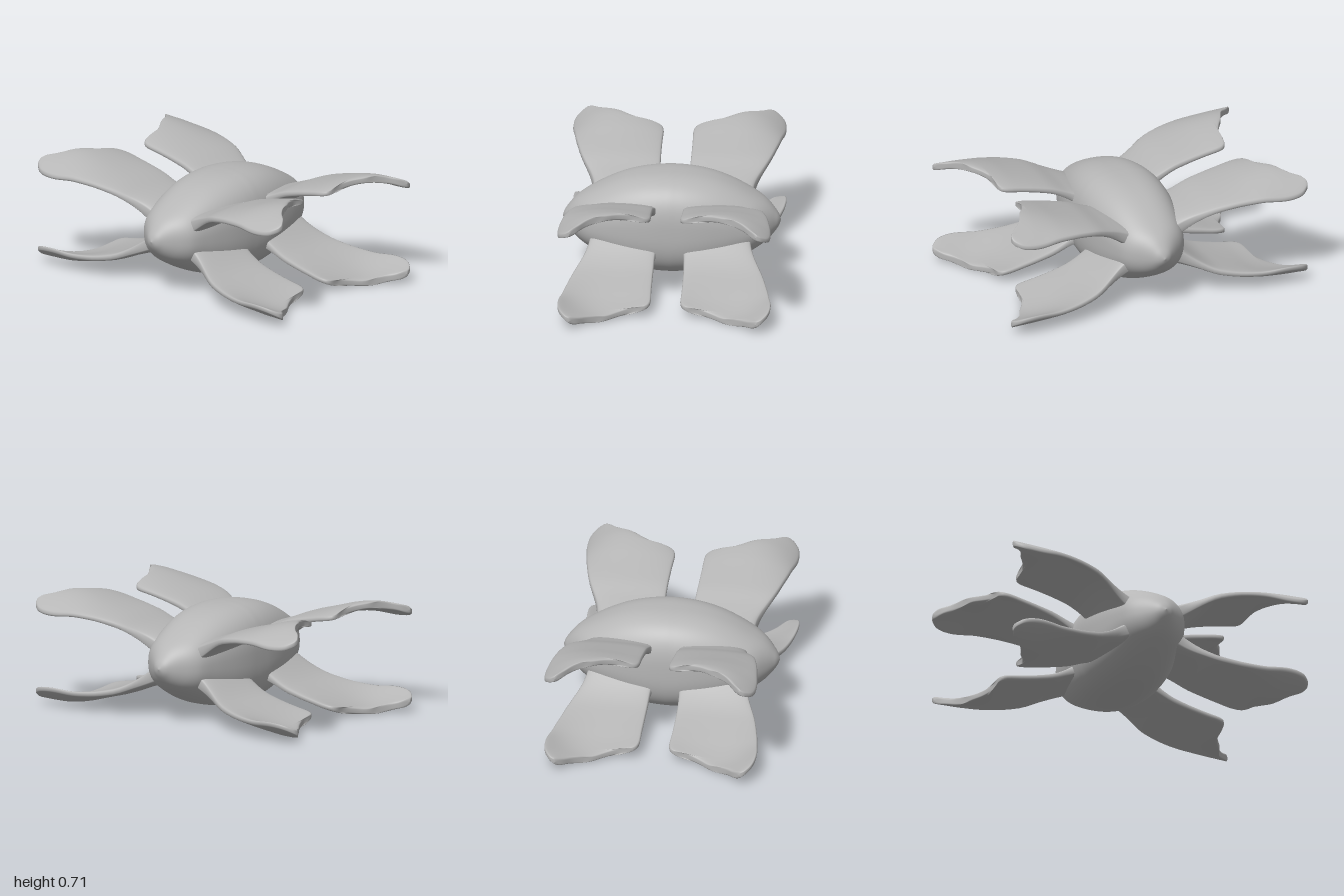
import * as THREE from 'three';

const MID_Y = 0.355;

// Smooth cubic through table rows [key, value], keys ascending
function curve(table) {
  const slope = (i) => {
    const a = table[Math.max(0, i - 1)], b = table[Math.min(table.length - 1, i + 1)];
    return (b[1] - a[1]) / (b[0] - a[0]);
  };
  return (k) => {
    let i = 0;
    while (i < table.length - 2 && k > table[i + 1][0]) i++;
    const [k0, v0] = table[i], [k1, v1] = table[i + 1], h = k1 - k0;
    const t = Math.min(1, Math.max(0, (k - k0) / h)), t2 = t * t, t3 = t2 * t;
    return v0 * (2 * t3 - 3 * t2 + 1) + slope(i) * h * (t3 - 2 * t2 + t)
      + v1 * (3 * t2 - 2 * t3) + slope(i + 1) * h * (t3 - t2);
  };
}

const signedPow = (v, p) => Math.sign(v) * Math.pow(Math.abs(v), p);

// Closed loops joined along a path, leaving out covered faces; turned outwards using the volume
function loft(rows, sides, point, covered = () => false) {
  const pos = [], index = [];
  for (let r = 0; r <= rows; r++) {
    for (let s = 0; s < sides; s++) pos.push(...point(r / rows, (s / sides) * Math.PI * 2));
  }
  const v = (i) => new THREE.Vector3().fromArray(pos, i * 3);
  for (let r = 0; r < rows; r++) {
    for (let s = 0; s < sides; s++) {
      const a = r * sides + s, b = r * sides + (s + 1) % sides;
      if (covered(v(a).lerp(v(b + sides), 0.5))) continue;
      index.push(a, b, b + sides, a, b + sides, a + sides);
    }
  }
  let volume = 0;
  for (let i = 0; i < index.length; i += 3) {
    volume += v(index[i]).dot(v(index[i + 1]).cross(v(index[i + 2])));
  }
  if (volume < 0) index.reverse();
  const geo = new THREE.BufferGeometry();
  geo.setAttribute('position', new THREE.Float32BufferAttribute(pos, 3));
  geo.setIndex(index);
  geo.computeVertexNormals();
  return geo;
}

// Wing stations from root to tip: inner edge x, z and outer edge x, z
const stations = [
  [0.25, 0.078, 0.13, 0.495], [0.275, 0.085, 0.205, 0.5], [0.32, 0.09, 0.28, 0.522],
  [0.45, 0.093, 0.42, 0.582], [0.60, 0.093, 0.58, 0.622], [0.72, 0.093, 0.70, 0.642],
  [0.765, 0.125, 0.78, 0.654], [0.768, 0.21, 0.85, 0.658], [0.80, 0.29, 0.91, 0.654],
  [0.845, 0.36, 0.95, 0.643], [0.87, 0.42, 0.978, 0.624], [0.91, 0.48, 0.995, 0.605],
  [0.965, 0.53, 1.0, 0.587], [0.997, 0.57, 1.0, 0.575],
];
const edge = [0, 1, 2, 3].map((c) => curve(stations.map((s, i) => [i, s[c]])));
// Height of the arch, sag in front of and behind it, and half thickness, by distance from the centre
const crest = curve([[0.1, 0.41], [0.2, 0.465], [0.3, 0.52], [0.4, 0.57], [0.5, 0.602],
  [0.6, 0.632], [0.7, 0.662], [0.82, 0.686], [0.93, 0.69], [1.0, 0.69]]);
const sag = curve([[0.1, 0.005], [0.3, 0.01], [0.5, 0.025], [0.6, 0.042], [0.7, 0.065],
  [0.82, 0.09], [0.93, 0.09], [1.0, 0.085]]);
const half = curve([[0.1, 0.08], [0.2, 0.062], [0.26, 0.048], [0.32, 0.036], [0.4, 0.03],
  [0.6, 0.026], [1.0, 0.024]]);

function wingGeometry(sx, sy, sz) {
  const last = stations.length - 1;
  return loft(52, 48, (t, a) => {
    const [xi, zi, xo, zo] = edge.map((f) => f(t * last));
    const v = 0.5 + 0.5 * Math.cos(a);
    const x = xi + (xo - xi) * v, z = zi + (zo - zi) * v;
    const arch = (z - 0.37) / 0.28;
    const taper = Math.sqrt(Math.min(1, (1 - t) * last));
    const y = crest(x) - sag(x) * arch * arch * (arch < 0 ? 0.5 : 1)
      + half(x) * taper * signedPow(Math.sin(a), 0.4);
    return [sx * x, MID_Y + sy * (y - MID_Y), sz * z];
  });
}

// True where a wing root joins the body wall, so the wall is left open there
function underWingRoot(p) {
  const x = Math.abs(p.x), y = MID_Y + Math.abs(p.y - MID_Y), z = Math.abs(p.z);
  const rootX = 0.26 - 0.12 * (z - 0.078) / 0.417;
  return z > 0.11 && z < 0.46 && x > rootX && Math.abs(y - crest(x)) < half(x) * 0.65;
}

// Body: boxy in the middle, rounder towards the blunt-pointed ends
function bodyGeometry() {
  const width = curve([[0, 0.292], [0.1, 0.29], [0.2, 0.28], [0.3, 0.262], [0.4, 0.238], [0.5, 0.205],
    [0.55, 0.17], [0.6, 0.115], [0.64, 0.065], [0.66, 0.037], [0.674, 0]]);
  const height = curve([[0, 0.317], [0.1, 0.313], [0.2, 0.3], [0.3, 0.275], [0.4, 0.235],
    [0.5, 0.182], [0.57, 0.138], [0.61, 0.103], [0.645, 0.06], [0.662, 0.032], [0.674, 0]]);
  return loft(96, 112, (t, a) => {
    const z = -0.674 * Math.cos(t * Math.PI), d = Math.abs(z);
    const p = 2 / (2.75 - 0.6 * d / 0.674);
    return [width(d) * signedPow(Math.cos(a), p), MID_Y + height(d) * signedPow(Math.sin(a), p), z];
  }, underWingRoot);
}

export function createModel() {
  const model = new THREE.Group();
  model.name = 'eightWingedBody';
  const grey = new THREE.MeshStandardMaterial({ color: 0xb6b6b6 });
  grey.name = 'plain grey';

  const add = (name, geometry) => {
    const mesh = new THREE.Mesh(geometry, grey);
    mesh.name = name;
    model.add(mesh);
  };

  add('body', bodyGeometry());
  // Eight wings mirrored about all three planes
  for (const sx of [1, -1]) for (const sy of [1, -1]) for (const sz of [1, -1]) {
    const name = (sy > 0 ? 'upper' : 'lower') + (sz > 0 ? 'Front' : 'Back') + (sx > 0 ? 'Left' : 'Right') + 'Wing';
    add(name, wingGeometry(sx, sy, sz));
  }
  return model;
}
